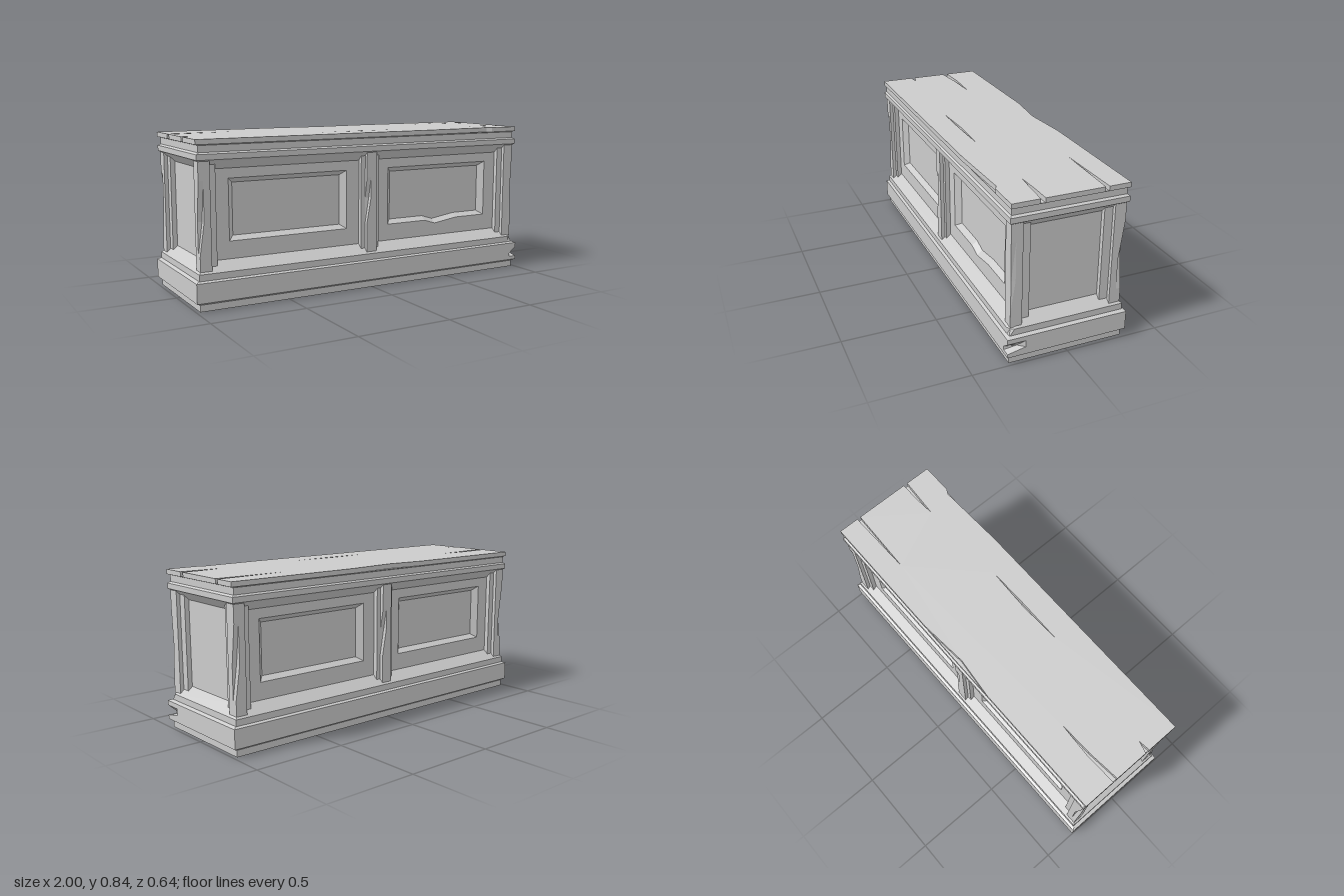
import * as THREE from 'three';

const material = new THREE.MeshStandardMaterial({ color: 0xcccccc, flatShading: true, side: THREE.DoubleSide });

function mesh(name, geometry) {
  const m = new THREE.Mesh(geometry, material);
  m.name = name;
  return m;
}

// Skin a list of equal-length point rings and close the ends with fans
function loft(rings, capStart = true) {
  const pos = [];
  const n = rings[0].length;
  const tri = (...p) => p.forEach((v) => pos.push(...v));
  for (let k = 0; k + 1 < rings.length; k++) {
    for (let i = 0; i < n; i++) {
      const j = (i + 1) % n;
      const [a, b, c, d] = [rings[k][i], rings[k][j], rings[k + 1][j], rings[k + 1][i]];
      tri(a, b, c);
      tri(a, c, d);
    }
  }
  const middle = (r) => [0, 1, 2].map((q) => r.reduce((s, p) => s + p[q], 0) / n);
  const first = rings[0], last = rings[rings.length - 1];
  for (let i = 0; i < n; i++) {
    const j = (i + 1) % n;
    tri(middle(last), last[i], last[j]);
    if (capStart) tri(middle(first), first[j], first[i]);
  }
  const g = new THREE.BufferGeometry();
  g.setAttribute('position', new THREE.Float32BufferAttribute(pos, 3));
  g.computeVertexNormals();
  return g;
}

// Rectangular stack of levels [halfX, halfZ, y]; a nick pushes one corner of one level inward
function stack(levels, { cx = 0, cz = 0, split = [0.01, 0.01], nicks = [] } = {}) {
  const corners = [[1, 1], [1, -1], [-1, -1], [-1, 1]];
  return loft(levels.map(([hx, hz, y], level) => corners.flatMap(([sx, sz], c) => {
    const nick = nicks.find((k) => k.level === level && k.corner === c);
    const [ix, iz] = nick ? nick.inset : [0, 0];
    const at = (x, z) => [cx + sx * x, y, cz + sz * z];
    const alongX = at(hx - split[0], hz), alongZ = at(hx, hz - split[1]);
    const corner = at(hx - ix, hz - iz);
    return sx * sz > 0 ? [alongX, corner, alongZ] : [alongZ, corner, alongX];
  })));
}

function box(name, x0, x1, y0, y1, z0, z1) {
  const g = new THREE.BoxGeometry(x1 - x0, y1 - y0, z1 - z0);
  g.translate((x0 + x1) / 2, (y0 + y1) / 2, (z0 + z1) / 2);
  return mesh(name, g);
}

// Face panel with a bevelled, sunken field; chip wears away the lower lip
function panel(side, chip) {
  const ring = (x0, x1, y0, y1, z, drop = 0) => [
    [x0, y0, z], [0.38, y0, z], [0.45, y0 - drop, z], [0.6, y0, z], [x1, y0, z], [x1, y1, z], [x0, y1, z],
  ];
  let rings = [
    ring(0, 0.925, 0.233, 0.692, 0.25),
    ring(0.13, 0.8, 0.325, 0.64, 0.25, chip),
    ring(0.16, 0.77, 0.347, 0.615, 0.22, chip),
  ];
  if (side < 0) rings = rings.map((r) => r.map(([x, y, z]) => [-x, y, z]).reverse());
  return mesh('sunkenPanel', loft(rings, false));
}

// One long face: two panels, centre post and slim trim strips
function longFace(name, chip) {
  const face = new THREE.Group();
  face.name = name;
  for (const s of [1, -1]) {
    face.add(panel(s, s > 0 ? chip : 0));
    const [a, b] = s > 0 ? [0.875, 0.915] : [-0.915, -0.875];
    face.add(box('trimStrip', a, b, 0.21, 0.735, 0.2, 0.275));
  }
  face.add(box('centreTrim', -0.055, 0.055, 0.21, 0.735, 0.2, 0.275));
  const ys = [0.19, 0.35, 0.49, 0.6, 0.74];
  face.add(mesh('centrePost', stack(ys.map((y) => [0.03, 0.05, y]), {
    cz: 0.245, split: [0.025, 0.02], nicks: [{ level: 2, corner: 3, inset: [0.02, 0.016] }],
  })));
  return face;
}

export function createModel() {
  const group = new THREE.Group();
  group.name = 'panelledChest';

  // Stepped plinth
  group.add(mesh('foot', stack([[0.98, 0.305, 0], [0.98, 0.305, 0.04]])));
  group.add(mesh('baseBand', stack([
    [0.98, 0.305, 0.035], [1, 0.32, 0.045], [1, 0.32, 0.065], [1, 0.32, 0.085],
    [1, 0.32, 0.12], [1, 0.32, 0.145], [0.985, 0.305, 0.152],
  ], { split: [0.045, 0.095], nicks: [{ level: 3, corner: 0, inset: [0.03, 0.06] }] })));
  group.add(mesh('skirting', stack([
    [0.98, 0.305, 0.145], [0.98, 0.305, 0.185], [0.925, 0.25, 0.235],
  ], { split: [0.03, 0.03], nicks: [{ level: 1, corner: 0, inset: [0.012, 0.012] }] })));

  // Inner carcass with plain end faces
  group.add(box('carcass', -0.925, 0.925, 0.2, 0.72, -0.215, 0.215));

  // Front and back faces
  group.add(longFace('frontFace', 0.022));
  const back = longFace('backFace', 0);
  back.rotation.y = Math.PI;
  group.add(back);

  // Corner posts with worn outer edges, and trim strips on the ends
  [[1, 1], [1, -1], [-1, -1], [-1, 1]].forEach(([sx, sz], corner) => {
    const worn = corner === 0 ? 0.004 : 0.022;
    group.add(mesh('cornerPost', stack([0.19, 0.27, 0.44, 0.64, 0.735].map((y) => [0.03, 0.03, y]), {
      cx: sx * 0.94, cz: sz * 0.265, split: [0.025, 0.025],
      nicks: [{ level: 2, corner, inset: [worn, worn] }],
    })));
    const [xa, xb] = sx > 0 ? [0.88, 0.95] : [-0.95, -0.88];
    const [za, zb] = sz > 0 ? [0.19, 0.24] : [-0.24, -0.19];
    group.add(box('endTrimStrip', xa, xb, 0.215, 0.73, za, zb));
  });

  // Cornice moulding
  group.add(mesh('cornice', stack([
    [0.925, 0.25, 0.69], [0.96, 0.285, 0.725], [0.965, 0.29, 0.73], [0.98, 0.305, 0.74],
    [0.98, 0.305, 0.768], [0.967, 0.295, 0.776], [0.967, 0.295, 0.81], [0.98, 0.3, 0.815],
  ])));

  // Worn lid board: split ends, chipped edges and a shallow gouge (points are x, z)
  const outline = [
    [-0.983, 0.303], [0.4, 0.303], [0.78, 0.288], [0.81, 0.303], [0.983, 0.303],
    [0.983, 0.16], [0.86, 0.152], [0.75, 0.145], [0.86, 0.138], [0.983, 0.136],
    [0.983, -0.168], [0.6, -0.18], [0.983, -0.188],
    [0.983, -0.303], [0.25, -0.303], [-0.02, -0.28], [-0.25, -0.303], [-0.983, -0.303],
    [-0.983, -0.122], [-0.8, -0.128], [-0.61, -0.118], [-0.8, -0.112], [-0.983, -0.095],
    [-0.983, 0.098], [-0.92, 0.115], [-0.983, 0.122],
  ];
  const toPoints = (list) => list.map(([x, z]) => new THREE.Vector2(x, -z));
  const lid = new THREE.Shape(toPoints(outline));
  lid.holes.push(new THREE.Path(toPoints([[-0.24, 0.167], [0, 0.158], [0.25, 0.167], [0, 0.17]])));
  const lidGeometry = new THREE.ExtrudeGeometry(lid, { depth: 0.025, bevelEnabled: false });
  lidGeometry.rotateX(-Math.PI / 2);
  lidGeometry.translate(0, 0.815, 0);
  group.add(mesh('lidBoard', lidGeometry));

  return group;
}
